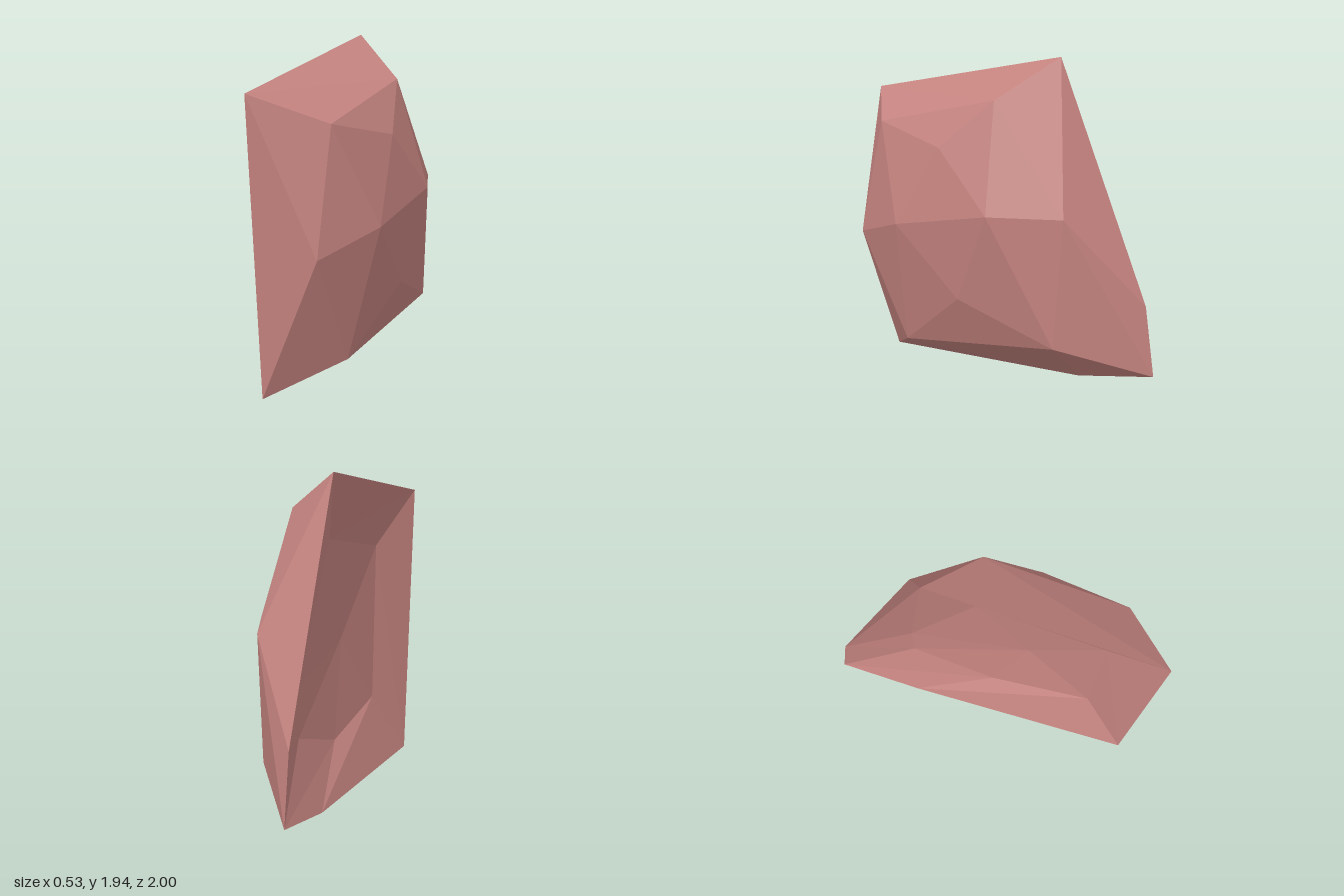
import * as THREE from 'three';
import { ConvexGeometry } from 'three/addons/geometries/ConvexGeometry.js';

// Cross-sections of the rock along x, each a loop of [y, z] corners
const sections = [
  { x: -0.265, loop: [[1.705, 1], [1.94, -0.352], [0.535, -0.94], [0.122, -1], [0.034, -0.5], [0, 0.88]] },
  { x: 0.087, loop: [[1.533, 0.71], [1.703, -0.12], [1.06, -0.59], [0.295, -0.53], [0.178, 0.53], [0.825, 0.88]] },
  { x: 0.203, loop: [[1.42, 0.19], [0.53, 0.06]] },
  { x: 0.263, loop: [[0.945, 0.47], [1.06, -0.18]] },
];
// Inner ring of the dished side, corner for corner with the rim
const dishRing = { x: -0.135, loop: [[1.385, 0.65], [1.53, -0.1], [0.75, -0.53], [0.465, -0.53], [0.3, -0.01], [0.405, 0.61]] };

const toPoints = ({ x, loop }) => loop.map(([y, z]) => new THREE.Vector3(x, y, z));
const rim = toPoints(sections[0]);

function facets(points) {
  const geometry = new THREE.BufferGeometry().setFromPoints(points);
  geometry.computeVertexNormals();
  return geometry;
}

// Faceted bulging side: the hull of all sections without its flat side
function bulge() {
  const hull = new ConvexGeometry(sections.flatMap(toPoints)).getAttribute('position');
  const kept = [];
  for (let i = 0; i < hull.count; i += 3) {
    const face = [0, 1, 2].map((k) => new THREE.Vector3().fromBufferAttribute(hull, i + k));
    if (face.some((p) => p.x > rim[0].x + 0.001)) kept.push(...face);
  }
  return facets(kept);
}

// Shallow dished side: rim, inner ring and a deepest point
function dish() {
  const deepest = new THREE.Vector3(-0.085, 0.88, 0.2);
  const ring = toPoints(dishRing);
  const faces = rim.flatMap((p, i) => {
    const j = (i + 1) % rim.length;
    return [p, rim[j], ring[j], p, ring[j], ring[i], ring[i], ring[j], deepest];
  });
  return facets(faces);
}

export function createModel() {
  const stone = new THREE.MeshStandardMaterial({ color: 0xc4837f, flatShading: true });
  stone.name = 'dusty red stone';

  const group = new THREE.Group();
  group.name = 'rock';
  const parts = { bulgingSide: bulge(), dishedSide: dish() };
  for (const [name, geometry] of Object.entries(parts)) {
    const mesh = new THREE.Mesh(geometry, stone);
    mesh.name = name;
    group.add(mesh);
  }
  return group;
}
